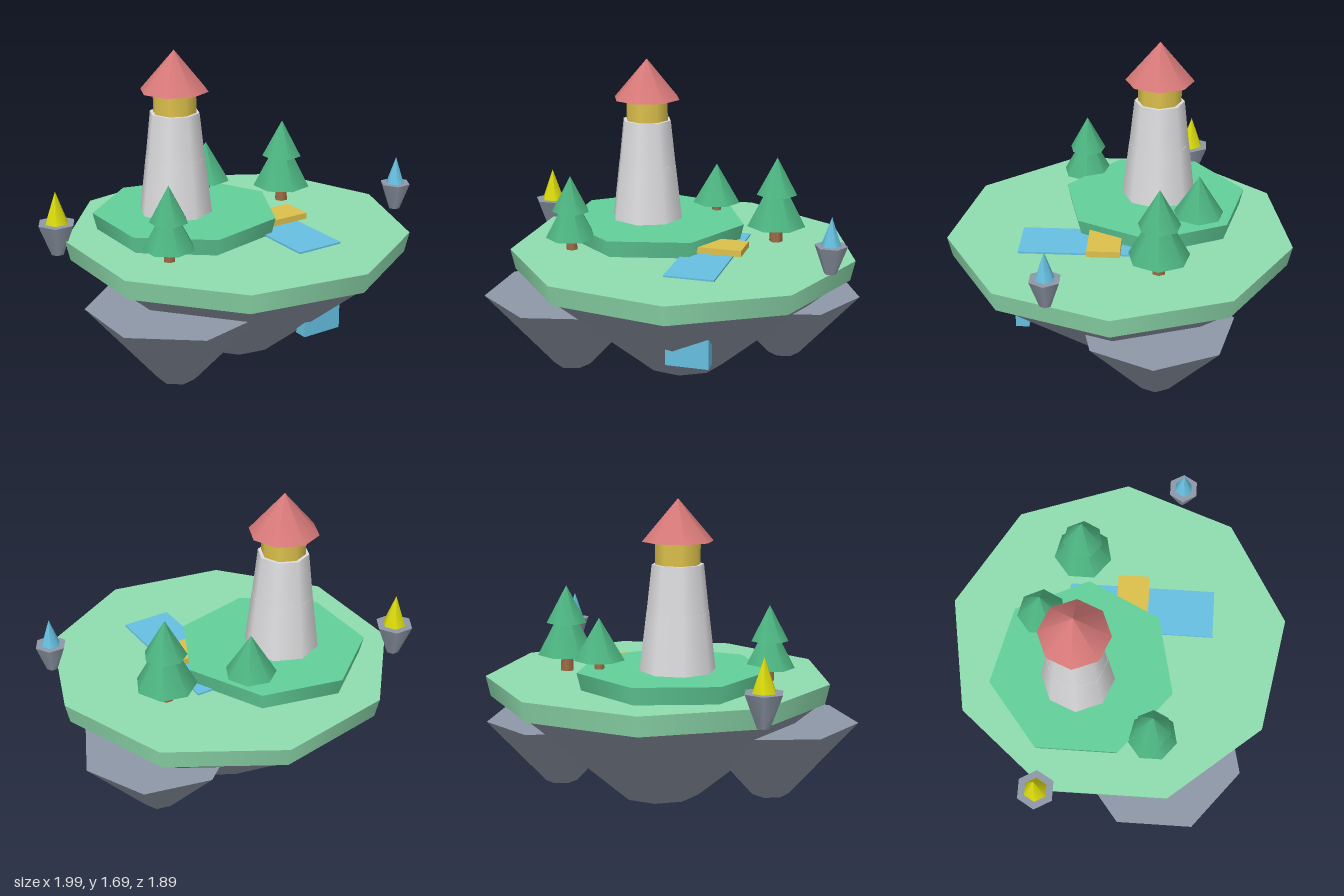
import * as THREE from 'three';

const mat = (name, color) => {
  const m = new THREE.MeshStandardMaterial({ color });
  m.name = name;
  return m;
};

export function createModel() {
  const rock = mat('rock grey', 0x8e97a6);
  const grass = mat('pale grass', 0x8fdcae);
  const mound = mat('mound green', 0x62d09a);
  const pine = mat('pine green', 0x4cb380);
  const bark = mat('bark brown', 0xa06c45);
  const stone = mat('tower white', 0xdcdcde);
  const gold = mat('gold', 0xdcc04c);
  const red = mat('roof red', 0xd67878);
  const water = mat('water blue', 0x66bfe0);
  const lemon = mat('lemon crystal', 0xd8d80c);

  const island = new THREE.Group();
  island.name = 'floatingIsland';

  // Tapered prism between two heights, with one corner pointing along +x
  const prism = (name, m, x, z, y0, y1, r0, r1, sides, parent = island) => {
    const g = new THREE.CylinderGeometry(r1, r0, y1 - y0, sides);
    g.rotateY(Math.PI / 2);
    const mesh = new THREE.Mesh(g, m);
    mesh.name = name;
    mesh.position.set(x, (y0 + y1) / 2, z);
    parent.add(mesh);
    return mesh;
  };

  // Box given by its limits on each axis
  const block = (name, m, x0, x1, y0, y1, z0, z1) => {
    const mesh = new THREE.Mesh(new THREE.BoxGeometry(x1 - x0, y1 - y0, z1 - z0), m);
    mesh.name = name;
    mesh.position.set((x0 + x1) / 2, (y0 + y1) / 2, (z0 + z1) / 2);
    island.add(mesh);
  };

  const group = (name) => {
    const g = new THREE.Group();
    g.name = name;
    island.add(g);
    return g;
  };

  // Ground and rocks
  prism('mainRock', rock, 0.03, 0, 0, 0.58, 0.23, 0.92, 9);
  prism('grassRim', grass, 0.03, 0, 0.573, 0.685, 0.935, 0.96, 9);
  prism('mound', mound, -0.19, -0.18, 0.675, 0.78, 0.495, 0.52, 7);
  prism('rightSideRock', rock, -0.54, 0.27, 0.03, 0.455, 0.103, 0.478, 7);
  prism('leftSideRock', rock, 0.565, -0.22, 0.03, 0.4, 0.092, 0.425, 7);

  // Stream, bridge and waterfall
  block('stream', water, 0.07, 0.345, 0.68, 0.695, -0.29, 0.535);
  block('bridge', gold, 0.02, 0.397, 0.703, 0.738, -0.018, 0.162);
  block('waterfall', water, 0.09, 0.325, 0.207, 0.56, 0.49, 0.565);

  // Lighthouse
  const tower = group('lighthouse');
  const tx = -0.242, tz = -0.2;
  prism('towerBase', stone, tx, tz, 0.77, 1.09, 0.206, 0.168, 8, tower);
  prism('towerTop', stone, tx, tz, 1.09, 1.345, 0.167, 0.139, 8, tower);
  prism('lantern', gold, tx, tz, 1.34, 1.47, 0.121, 0.121, 8, tower);
  prism('roof', red, tx, tz, 1.465, 1.688, 0.19, 0, 8, tower);

  // Trees: [x, z, ground, trunk radius, then foliage tiers of base, tip, radius]
  const trees = [
    [-0.548, 0.227, 0.685, 0.033, [[0.757, 1.02, 0.141], [0.905, 1.1, 0.104]]],
    [0.504, -0.228, 0.685, 0.038, [[0.78, 1.09, 0.166], [0.96, 1.168, 0.115]]],
    [0.106, -0.43, 0.78, 0.028, [[0.83, 1.055, 0.138]]],
  ];
  for (const [x, z, y, r, tiers] of trees) {
    const tree = group('tree');
    prism('trunk', bark, x, z, y - 0.01, tiers[0][0] + 0.03, r, r * 0.9, 6, tree);
    for (const [y0, y1, radius] of tiers) {
      prism('foliage', pine, x, z, y0, y1, radius, 0, 7, tree);
    }
  }

  // Small floating rocks with crystals
  const shards = [
    [lemon, -0.893, -0.38, 0.6, 0.78, 0.96, 0.037, 0.108, 0.067],
    [water, 0.906, 0.322, 0.715, 0.866, 1.018, 0.032, 0.087, 0.053],
  ];
  for (const [m, x, z, y0, y1, y2, r0, r1, r2] of shards) {
    const shard = group('floatingShard');
    prism('shardRock', rock, x, z, y0, y1, r0, r1, 6, shard);
    prism('crystal', m, x, z, y1 - 0.002, y2, r2, 0, 6, shard);
  }

  return island;
}
